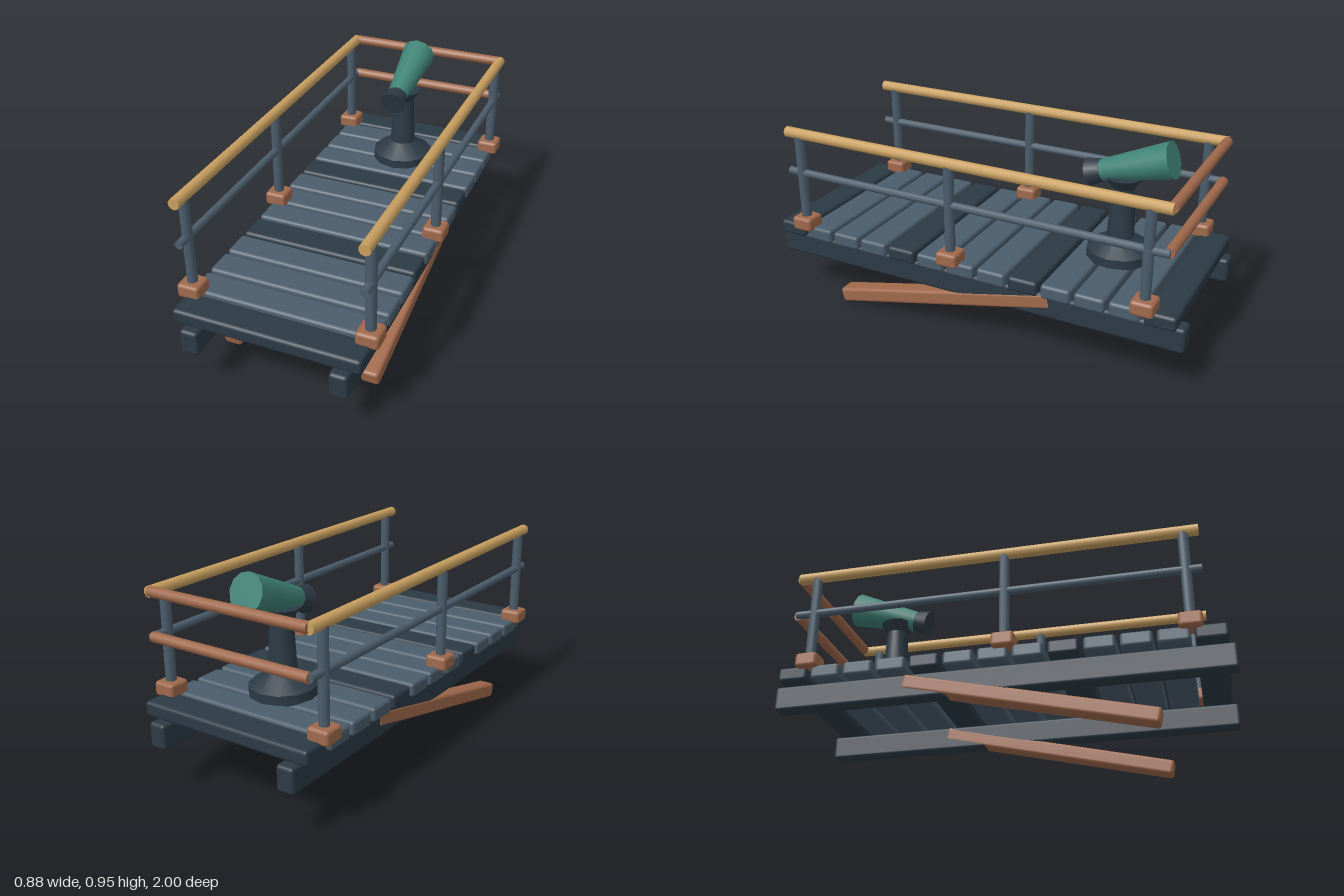
import * as THREE from 'three';
import { RoundedBoxGeometry } from 'three/addons/geometries/RoundedBoxGeometry.js';
import { toCreasedNormals } from 'three/addons/utils/BufferGeometryUtils.js';

const paint = (name, color) => Object.assign(new THREE.MeshStandardMaterial({ color }), { name });

export function createModel() {
  const model = new THREE.Group();
  model.name = 'lookoutPlatform';
  const dark = paint('darkSlate', 0x2c3a45);
  const steel = paint('blueSteel', 0x4b5d6c);
  const rust = paint('rustBrown', 0xa0694c);
  const gold = paint('honeyWood', 0xc89f5f);
  const teal = paint('tealGreen', 0x3f8376);

  const add = (name, geometry, material, x, y, z, parent = model) => {
    const mesh = new THREE.Mesh(geometry, material);
    mesh.name = name;
    mesh.position.set(x, y, z);
    parent.add(mesh);
    return mesh;
  };
  const box = (w, h, d, r = 0.015) => new RoundedBoxGeometry(w, h, d, 2, r);

  // Round bar between two points
  const bar = (name, material, radius, a, b) => {
    const from = new THREE.Vector3(...a), to = new THREE.Vector3(...b);
    const dir = to.clone().sub(from);
    const mid = from.clone().add(to).multiplyScalar(0.5);
    const mesh = add(name, new THREE.CylinderGeometry(radius, radius, dir.length(), 10), material, mid.x, mid.y, mid.z);
    mesh.quaternion.setFromUnitVectors(new THREE.Vector3(0, 1, 0), dir.normalize());
  };

  // Deck planks, every fourth one dark
  for (let i = 0; i < 13; i++) {
    add('deckPlank', box(0.82, 0.065, 0.134), i % 4 ? steel : dark, 0, 0.362, 0.905 - i * 0.1508);
  }

  for (const side of [-1, 1]) {
    // Long beam and the slanting brace beneath it
    add('beam', box(0.08, 0.113, 2), dark, side * 0.326, 0.268, 0);
    const brace = add('brace', box(0.084, 0.07, 1.12), rust, side * 0.327, 0.166, 0.135);
    brace.rotation.x = 0.232;

    // Railing posts in their foot blocks
    const x = side * 0.392;
    for (const z of [0.826, 0.05, -0.834]) {
      add('postFoot', box(0.1, 0.065, 0.1), rust, x, 0.413, z);
      bar('railPost', steel, 0.023, [x, 0.4, z], [x, 0.85, z]);
    }
    bar('handrail', gold, 0.025, [x, 0.848, 0.893], [x, 0.848, -0.92]);
    bar('middleRail', steel, 0.018, [x, 0.66, 0.893], [x, 0.66, -0.92]);
  }

  // Rails across the back
  for (const y of [0.85, 0.66]) bar('backRail', rust, 0.023, [-0.39, y, -0.914], [0.39, y, -0.914]);

  // Viewer pedestal with a flared collar
  const profile = [[0, 0.39], [0.147, 0.39], [0.147, 0.435], [0.062, 0.492], [0.05, 0.72], [0.08, 0.767], [0, 0.767]]
    .map(([r, y]) => new THREE.Vector2(r, y));
  add('pedestal', toCreasedNormals(new THREE.LatheGeometry(profile, 12), 0.6), dark, 0, 0, -0.582);

  // Tilted viewer, local y running from the eyepiece to the wide end
  const viewer = new THREE.Group();
  viewer.name = 'viewer';
  viewer.position.set(0, 0.758, -0.423);
  viewer.rotation.x = -Math.PI / 2 + 0.32;
  model.add(viewer);
  add('eyepiece', new THREE.CylinderGeometry(0.05, 0.062, 0.065, 12), dark, 0, 0.0325, 0, viewer);
  add('barrel', new THREE.CylinderGeometry(0.082, 0.048, 0.33, 12), teal, 0, 0.222, 0, viewer);

  return model;
}
